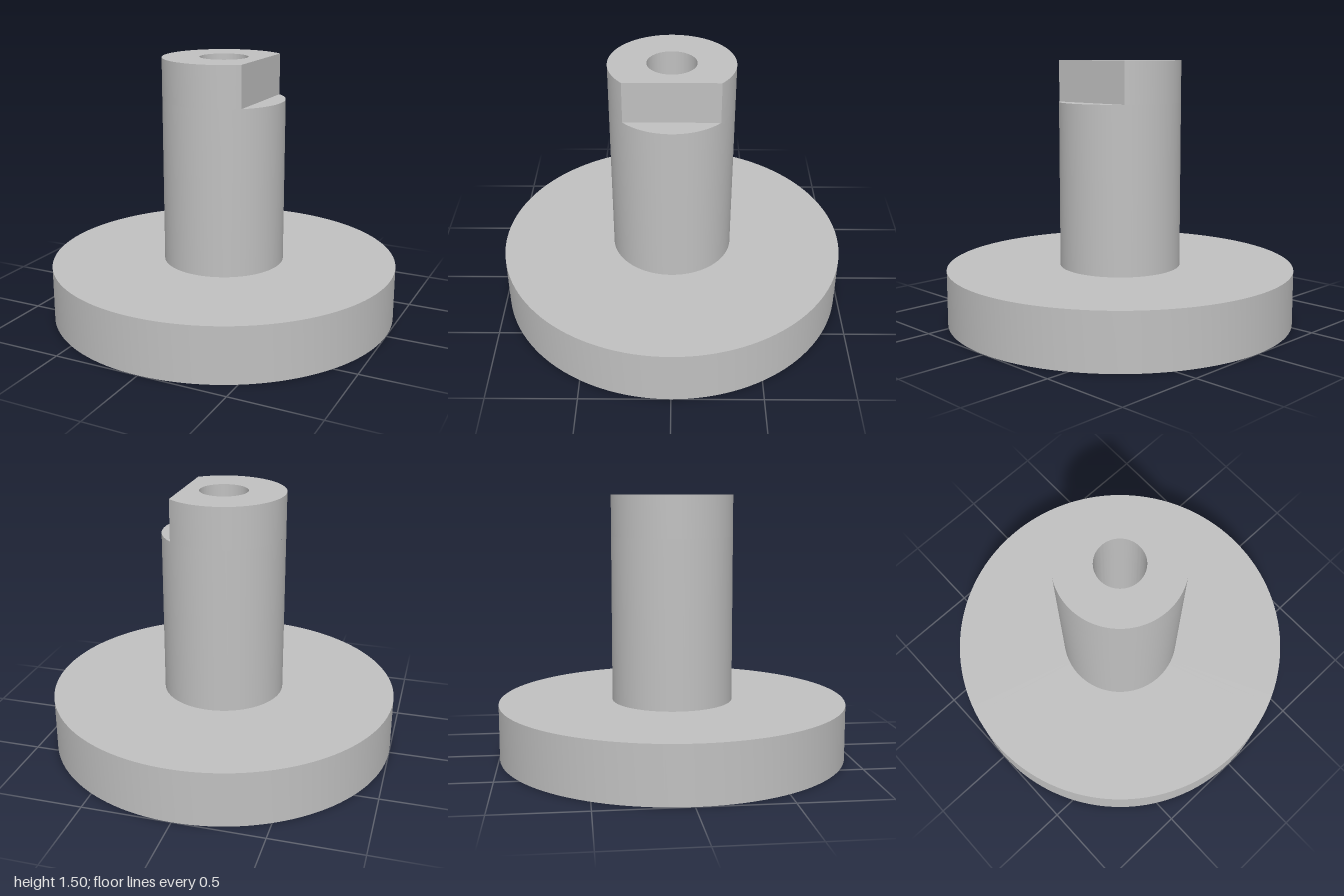
import * as THREE from 'three';
import { toCreasedNormals } from 'three/addons/utils/BufferGeometryUtils.js';

const BORE = 0.137, SHAFT = 0.348, FLANGE = 1;
const FLANGE_TOP = 0.315, LEDGE = 1.26, TOP = 1.495;
const FLAT_X = 0.23;
const CREASE = 0.5;

// Drops the downward faces of a non-indexed geometry, so no cap is left inside the solid
function withoutBottom(geometry) {
  const p = geometry.attributes.position, n = geometry.attributes.normal;
  const kept = [];
  for (let i = 0; i < p.count; i += 3) {
    if (n.getY(i) < -0.9) continue;
    for (let j = i; j < i + 3; j++) kept.push(p.getX(j), p.getY(j), p.getZ(j));
  }
  const out = new THREE.BufferGeometry();
  out.setAttribute('position', new THREE.Float32BufferAttribute(kept, 3));
  return out;
}

export function createModel() {
  const group = new THREE.Group();
  group.name = 'flangedShaft';
  const metal = new THREE.MeshStandardMaterial({ color: 0xc0c0c0 });
  metal.name = 'grey metal';

  const add = (name, geometry) => {
    const mesh = new THREE.Mesh(toCreasedNormals(geometry, CREASE), metal);
    mesh.name = name;
    group.add(mesh);
  };

  // Flange and round part of the shaft, with the bore running through
  const profile = [
    [BORE, LEDGE], [BORE, 0], [FLANGE, 0], [FLANGE, FLANGE_TOP],
    [SHAFT, FLANGE_TOP], [SHAFT, LEDGE],
  ].map(([r, y]) => new THREE.Vector2(r, y));
  add('flangeAndShaft', new THREE.LatheGeometry(profile, 128));

  // Shaft tip with one side cut flat
  const a = Math.acos(FLAT_X / SHAFT);
  const section = new THREE.Shape();
  section.absarc(0, 0, SHAFT, a, 2 * Math.PI - a, false);
  section.closePath();
  const hole = new THREE.Path();
  hole.absarc(0, 0, BORE, 0, 2 * Math.PI, true);
  section.holes.push(hole);
  const tip = new THREE.ExtrudeGeometry(section, {
    depth: TOP - LEDGE, bevelEnabled: false, curveSegments: 64,
  });
  tip.rotateX(-Math.PI / 2).translate(0, LEDGE, 0);
  add('shaftTip', withoutBottom(tip));

  // Ledge left beside the flat
  const segment = new THREE.Shape();
  segment.absarc(0, 0, SHAFT, -a, a, false);
  segment.closePath();
  const ledge = new THREE.ShapeGeometry(segment, 32);
  ledge.rotateX(-Math.PI / 2).translate(0, LEDGE, 0);
  add('ledge', ledge);

  return group;
}
